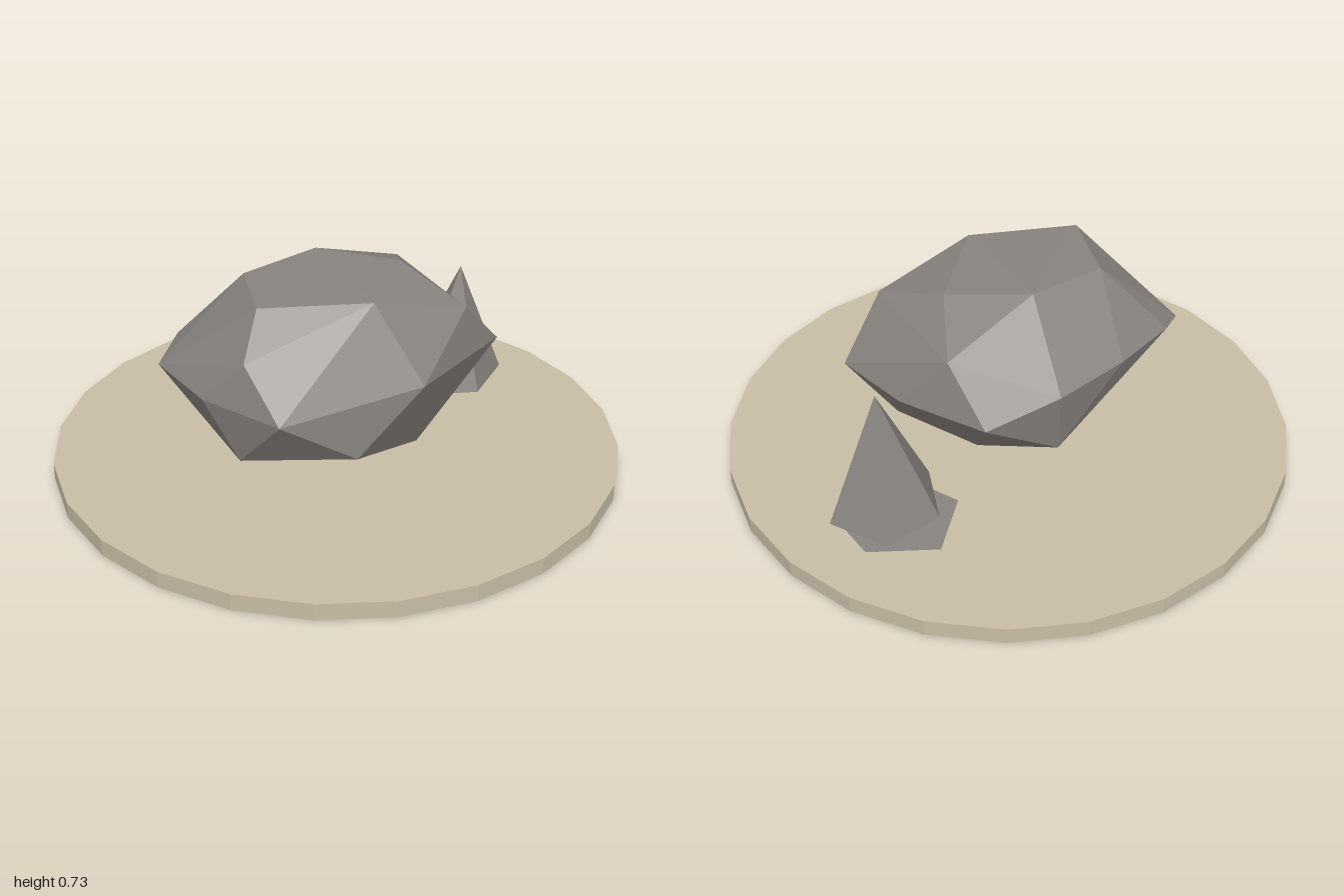
import * as THREE from 'three';
import { ConvexGeometry } from 'three/addons/geometries/ConvexGeometry.js';

const sand = new THREE.MeshStandardMaterial({ color: 0xc8bea6, flatShading: true });
sand.name = 'sand';
const stone = new THREE.MeshStandardMaterial({ color: 0x88837e, flatShading: true, side: THREE.DoubleSide });
stone.name = 'stone grey';

const FLOOR = 0.08; // height at which the stones rest

function part(name, geometry, material) {
  const mesh = new THREE.Mesh(geometry, material);
  mesh.name = name;
  return mesh;
}

const vectors = (list) => list.map((p) => new THREE.Vector3(...p));

// Fan of triangles from a centre to a closed ring; ring runs counter-clockwise seen from the centre's outer side
function fan(centre, ring) {
  const pos = [];
  ring.forEach(([x, z], i) => {
    const [nx, nz] = ring[(i + 1) % ring.length];
    pos.push(...centre, x, FLOOR, z, nx, FLOOR, nz);
  });
  const g = new THREE.BufferGeometry();
  g.setAttribute('position', new THREE.Float32BufferAttribute(pos, 3));
  g.computeVertexNormals();
  return g;
}

export function createModel() {
  const group = new THREE.Group();
  group.name = 'rockDisplay';

  // Round base
  const base = part('base', new THREE.CylinderGeometry(1, 1, 0.06, 24), sand);
  base.position.y = 0.03;
  group.add(base);

  // Faceted boulder, hull of its corners
  const corners = vectors([
    // crown
    [-0.36, 0.71, 0.15], [-0.29, 0.71, -0.12], [0, 0.73, -0.165],
    [0, 0.71, 0.28], [0.24, 0.705, 0.01],
    // shoulders
    [0.35, 0.615, -0.22], [0.36, 0.61, 0.26], [-0.46, 0.585, 0.27],
    // waist
    [-0.6, 0.42, -0.15], [-0.565, 0.43, 0.16], [-0.41, 0.42, 0.43],
    [0.11, 0.45, 0.435], [0.54, 0.42, 0.18], [0.47, 0.42, -0.1],
    [0.3, 0.42, -0.38], [0.05, 0.5, -0.435], [-0.23, 0.5, -0.37], [-0.49, 0.47, -0.25],
    // underside
    [-0.14, 0.245, 0.445], [-0.47, 0.215, 0.24], [0.41, 0.25, 0.05],
    [0.03, 0.25, -0.39], [-0.37, 0.08, -0.01], [0.21, 0.1, 0.21], [0.17, 0.09, -0.08],
  ]);
  group.add(part('boulder', new ConvexGeometry(corners), stone));

  // Pointed stone with five irregular sides
  const sides = [[0.6, -0.03], [0.785, -0.18], [0.665, -0.375], [0.452, -0.332], [0.378, -0.11]];
  group.add(part('pointedStone', fan([0.59, 0.54, -0.17], sides), stone));

  // Flat slab showing behind the pointed stone
  const slab = [[0.48, -0.06], [0.76, -0.16], [0.74, -0.36], [0.52, -0.47], [0.36, -0.29]];
  group.add(part('stoneFoot', fan([0.58, FLOOR, -0.26], slab), stone));

  return group;
}
